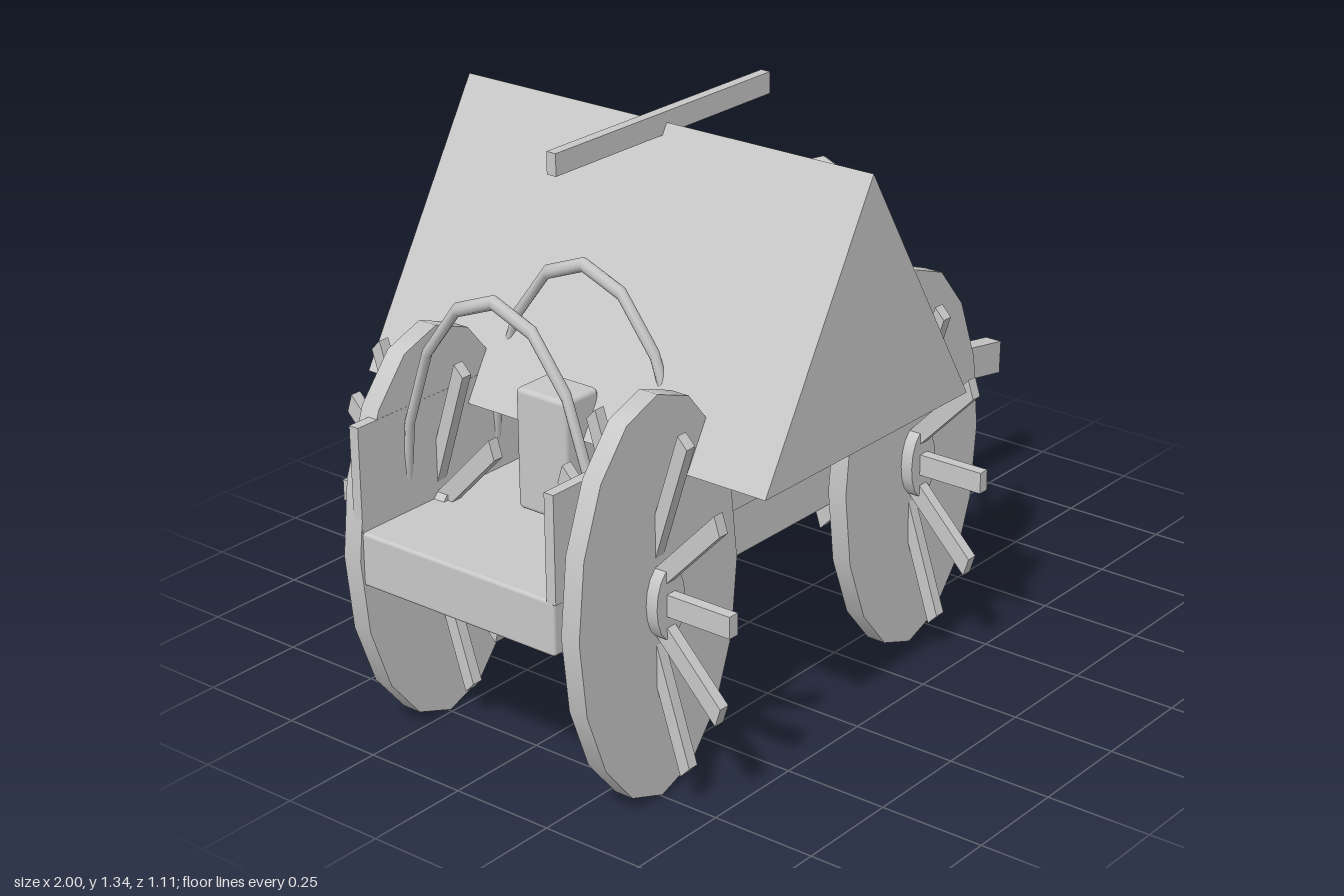
import * as THREE from 'three';
import { RoundedBoxGeometry } from 'three/addons/geometries/RoundedBoxGeometry.js';

const grey = new THREE.MeshStandardMaterial({ color: 0xc8c8c8 });
grey.name = 'plain grey';

export function createModel() {
  const model = new THREE.Group();
  model.name = 'coveredWagon';

  const add = (name, geometry, x, y, z, parent = model) => {
    const mesh = new THREE.Mesh(geometry, grey);
    mesh.name = name;
    mesh.position.set(x, y, z);
    parent.add(mesh);
    return mesh;
  };
  const box = (name, w, h, d, x, y, z, parent) =>
    add(name, new THREE.BoxGeometry(w, h, d), x, y, z, parent);

  // Bed with a plank along each side
  add('bed', new RoundedBoxGeometry(1.385, 0.125, 0.55, 2, 0.008), -0.297, 0.4625, 0);
  for (const side of [-1, 1]) {
    box('sideBoard', 1.39, 0.245, 0.025, -0.295, 0.643, side * 0.27);
    box('sidePeg', 0.02, 0.035, 0.006, -0.283, 0.555, side * 0.285);
  }

  // Seats
  for (const x of [-0.655, 0.045]) {
    add('seat', new RoundedBoxGeometry(0.11, 0.28, 0.14, 2, 0.012), x, 0.675, 0);
  }

  // Oval hoops over the bed
  const hoopGeometry = new THREE.TorusGeometry(0.538, 0.0165, 8, 8, Math.PI);
  hoopGeometry.rotateY(Math.PI / 2);
  hoopGeometry.scale(0.82, 1, 0.505);
  for (const x of [-0.842, -0.562, -0.003, 0.275]) add('hoop', hoopGeometry, x, 0.525, 0);

  // Tent: a closed triangular prism
  const gable = new THREE.Shape();
  gable.moveTo(-0.655, 0.71);
  gable.lineTo(0.06, 0.71);
  gable.lineTo(-0.298, 1.31);
  gable.closePath();
  add('tent', new THREE.ExtrudeGeometry(gable, { depth: 1.112, bevelEnabled: false }), 0, 0, -0.556);
  box('ridgePole', 0.715, 0.05, 0.025, -0.298, 1.31, 0);

  // Sloping drawbar with upright ends
  const bar = new THREE.Shape();
  bar.moveTo(0.3, 0.437);
  bar.lineTo(0.997, 0.314);
  bar.lineTo(1, 0.398);
  bar.lineTo(0.3, 0.521);
  bar.closePath();
  add('drawbar', new THREE.ExtrudeGeometry(bar, { depth: 0.045, bevelEnabled: false }), 0, 0, -0.0225);

  // Oval wheels with a hub and a ring of spokes set across the disc
  const squash = 0.555;
  const disc = (r, depth) =>
    new THREE.CylinderGeometry(r, r, depth, 16).rotateX(Math.PI / 2).scale(squash, 1, 1);
  const discGeometry = disc(0.46, 0.048);
  const hubGeometry = disc(0.082, 0.077);
  const spokeGeometry = new THREE.BoxGeometry(0.027, 0.435, 0.05).translate(0, 0.2175, 0);
  for (const x of [-0.745, 0.153]) {
    for (const z of [0.304, -0.306]) {
      const wheel = new THREE.Group();
      wheel.name = 'wheel';
      wheel.position.set(x, 0.46, z);
      model.add(wheel);
      add('wheelDisc', discGeometry, 0, 0, 0.024, wheel);
      add('hub', hubGeometry, 0, 0, 0.0385, wheel);
      const spokes = new THREE.Group();
      spokes.name = 'spokes';
      spokes.scale.z = squash;
      wheel.add(spokes);
      for (let i = 0; i < 12; i++) {
        add('spoke', spokeGeometry, 0, 0, 0, spokes).rotation.x = (i * Math.PI) / 6;
      }
    }
  }
  return model;
}
